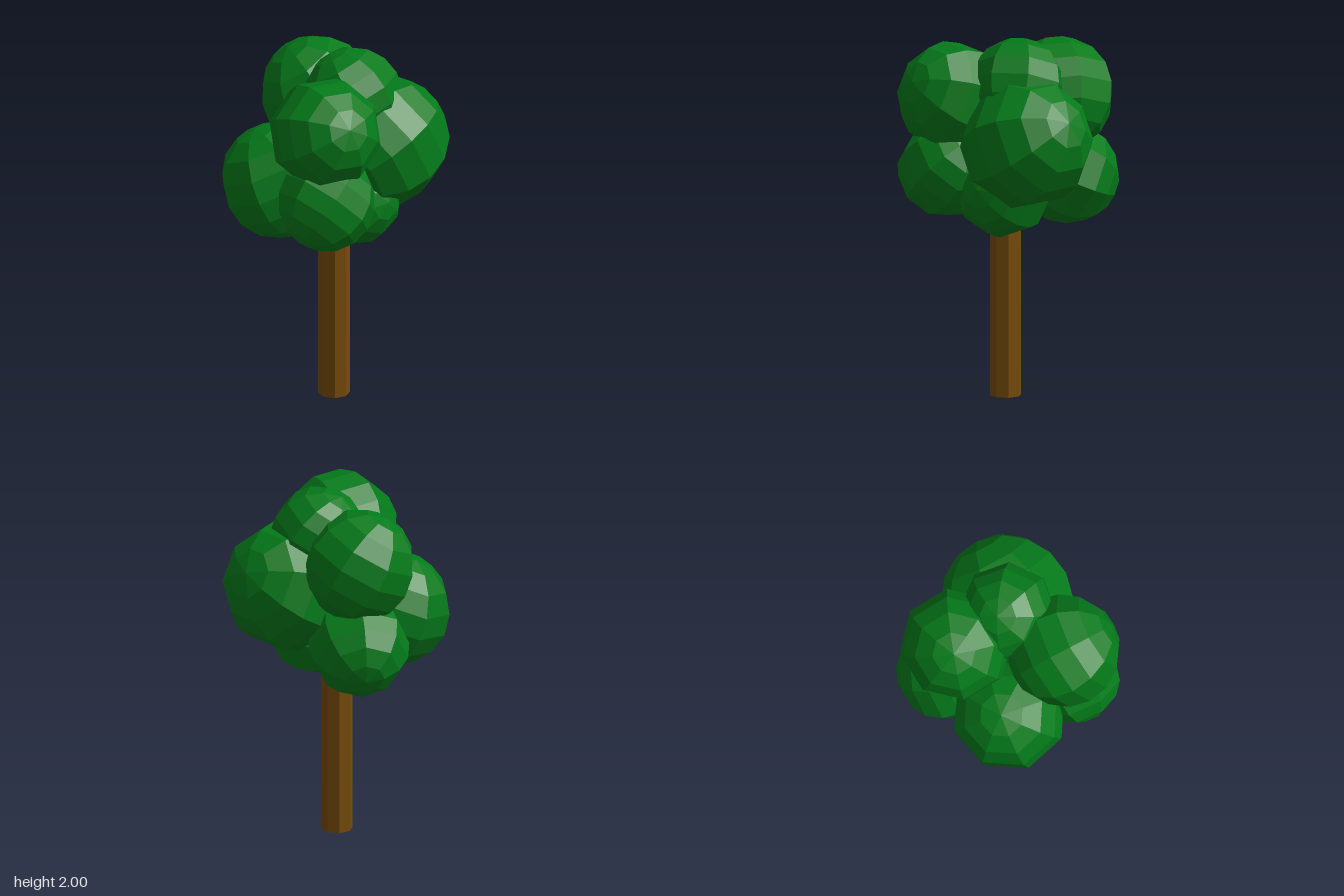
import * as THREE from 'three';

export function createModel() {
  const tree = new THREE.Group();
  tree.name = 'tree';
  const bark = new THREE.MeshStandardMaterial({ color: 0x754b09, flatShading: true });
  const leaf = new THREE.MeshStandardMaterial({ color: 0x047a1a, flatShading: true });

  // Octagonal trunk, reaching up inside the foliage
  const trunk = new THREE.Mesh(new THREE.CylinderGeometry(0.087, 0.087, 1.3, 8), bark);
  trunk.name = 'trunk';
  trunk.position.set(-0.03, 0.65, 0.038);
  tree.add(trunk);

  // Foliage clumps: name, centre, radius, direction of the pole, twist about the pole
  const clumps = [
    ['upperFrontRightClump', [-0.27, 1.655, 0.187], 0.309, [-0.3, 0.4, 0.85], 0],
    ['largeFrontLeftClump', [0.207, 1.458, 0.187], 0.363, [0.88, 0.45, 0.16], 0.2],
    ['topClump', [0.08, 1.738, 0.083], 0.267, [-0.2, 0.87, -0.45], 0],
    ['upperBackClump', [0.138, 1.65, -0.235], 0.31, [-0.36, 0.87, -0.36], 0.23],
    ['lowerBackRightClump', [-0.243, 1.265, -0.18], 0.319, [-0.2, 0.9, -0.35], Math.PI / 8],
    ['lowerBackLeftClump', [0.18, 1.2, -0.265], 0.277, [0.61, -0.4, -0.61], 0],
    ['lowerFrontRightClump', [-0.294, 1.265, 0.22], 0.27, [0.7, 0.7, 0.1], 0],
    ['bottomClump', [0.02, 1.17, 0.13], 0.267, [0, 0.15, 1], 0],
  ];
  const foliage = new THREE.Group();
  foliage.name = 'foliage';
  const up = new THREE.Vector3(0, 1, 0);
  for (const [name, centre, radius, pole, twist] of clumps) {
    const clump = new THREE.Mesh(new THREE.SphereGeometry(radius, 8, 8), leaf);
    clump.name = name;
    clump.position.set(...centre);
    clump.quaternion.setFromUnitVectors(up, new THREE.Vector3(...pole).normalize());
    clump.rotateY(twist);
    foliage.add(clump);
  }
  tree.add(foliage);
  return tree;
}
